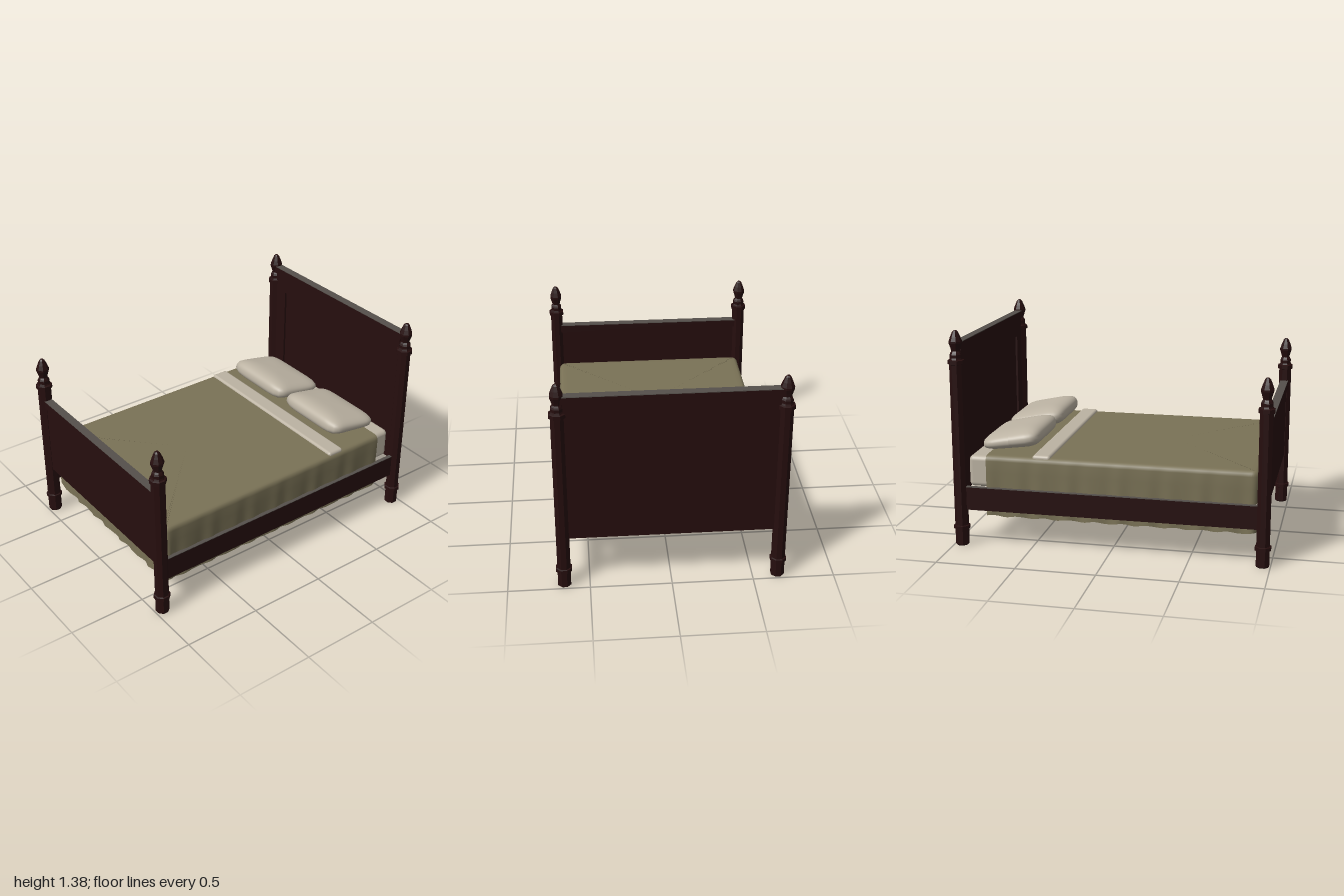
import * as THREE from 'three';
import { RoundedBoxGeometry } from 'three/addons/geometries/RoundedBoxGeometry.js';

export function createModel() {
  const bed = new THREE.Group();
  bed.name = 'bed';
  const material = (name, color, extra = {}) => {
    const m = new THREE.MeshStandardMaterial({ color, ...extra });
    m.name = name;
    return m;
  };
  const wood = material('dark wood', 0x260e0e);
  const edge = material('pale wood edge', 0x55504b);
  const linen = material('linen', 0xbcb3a3);
  const cloth = material('olive cloth', 0x7a7256, { side: THREE.DoubleSide });

  const add = (name, geometry, mat, x = 0, y = 0, z = 0, parent = bed) => {
    const mesh = new THREE.Mesh(geometry, mat);
    mesh.name = name;
    mesh.position.set(x, y, z);
    parent.add(mesh);
    return mesh;
  };
  // Box given by its lower and upper limits
  const block = (name, mat, [x0, x1], [y0, y1], [z0, z1], parent) =>
    add(name, new THREE.BoxGeometry(x1 - x0, y1 - y0, z1 - z0), mat,
      (x0 + x1) / 2, (y0 + y1) / 2, (z0 + z1) / 2, parent);

  // Turned eight-sided posts; top is the height of the finial tip
  const postGeometry = (top) => {
    const c = top - 0.195;
    const profile = [
      [0, 0], [0.038, 0], [0.043, 0.006], [0.043, 0.105], [0.052, 0.108], [0.052, 0.13], [0.043, 0.133],
      [0.043, c - 0.016], [0.052, c - 0.013], [0.052, c + 0.011], [0.041, c + 0.015],
      [0.037, c + 0.025], [0.038, c + 0.045], [0.033, c + 0.056], [0.026, c + 0.066],
      [0.031, c + 0.085], [0.041, c + 0.115], [0.041, c + 0.127], [0.031, c + 0.155],
      [0.018, c + 0.185], [0.009, c + 0.194], [0, c + 0.195],
    ].map(([r, y]) => new THREE.Vector2(r, y));
    const g = new THREE.LatheGeometry(profile, 8, Math.PI / 8).toNonIndexed();
    g.computeVertexNormals();
    return g;
  };
  const headPost = postGeometry(1.375), footPost = postGeometry(1.165);

  for (const s of [-1, 1]) {
    add('headPost', headPost, wood, s * 0.655, 0, -0.952);
    add('footPost', footPost, wood, s * 0.655, 0, 0.952);
    // Side rail with a pale top face
    const span = [-0.93, 0.93];
    const width = s > 0 ? [0.643, 0.668] : [-0.668, -0.643];
    block('sideRail', wood, width, [0.235, 0.381], span);
    block('sideRailTop', edge, width, [0.381, 0.385], span);
  }

  // Headboard: plain back, framed front with a sunken panel, top cap
  const headboard = new THREE.Group();
  headboard.name = 'headboard';
  bed.add(headboard);
  block('headboardPanel', wood, [-0.622, 0.622], [0.345, 1.25], [-0.97, -0.948], headboard);
  const rectangle = (Type, x, y0, y1) => {
    const p = new Type();
    p.moveTo(-x, y0).lineTo(x, y0).lineTo(x, y1).lineTo(-x, y1).closePath();
    return p;
  };
  const frame = rectangle(THREE.Shape, 0.622, 0.345, 1.25);
  frame.holes.push(rectangle(THREE.Path, 0.525, 0.5, 1.13));
  add('headboardFrame', new THREE.ExtrudeGeometry(frame, { depth: 0.014, bevelEnabled: false }),
    wood, 0, 0, -0.948, headboard);
  block('headboardCap', wood, [-0.635, 0.635], [1.25, 1.296], [-0.978, -0.926], headboard);
  block('headboardCapTop', edge, [-0.635, 0.635], [1.296, 1.3], [-0.978, -0.926], headboard);

  // Footboard
  const footboard = new THREE.Group();
  footboard.name = 'footboard';
  bed.add(footboard);
  block('footboardPanel', wood, [-0.622, 0.622], [0.345, 0.82], [0.934, 0.966], footboard);
  block('footboardCap', wood, [-0.635, 0.635], [0.82, 0.871], [0.924, 0.976], footboard);
  block('footboardCapTop', edge, [-0.635, 0.635], [0.871, 0.875], [0.924, 0.976], footboard);

  // Mattress and its base
  add('mattress', new RoundedBoxGeometry(1.23, 0.2, 1.81, 4, 0.03), linen, 0, 0.472, -0.005);
  block('mattressBase', linen, [-0.636, 0.636], [0.365, 0.385], [-0.78, 0.908]);

  // Blanket path in plan: down one side, round the foot, back up the other side
  const W = 0.652, HEAD = -0.785, FOOT = 0.922, R = 0.05;
  const path = [];
  const line = (x0, z0, x1, z1, nx, nz, n) => {
    for (let i = 0; i <= n; i++) {
      path.push([x0 + (x1 - x0) * i / n, z0 + (z1 - z0) * i / n, nx, nz]);
    }
  };
  const corner = (cx, a0) => {
    for (let i = 1; i < 6; i++) {
      const a = a0 + (i / 6) * Math.PI / 2, nx = Math.cos(a), nz = Math.sin(a);
      path.push([cx + R * nx, FOOT - R + R * nz, nx, nz]);
    }
  };
  line(W, HEAD, W, FOOT - R, 1, 0, 100);
  corner(W - R, 0);
  line(W - R, FOOT, R - W, FOOT, 0, 1, 76);
  corner(R - W, Math.PI / 2);
  line(-W, FOOT - R, -W, HEAD, -1, 0, 100);

  // Rows from hem to top: height, inset, fold strength
  const rows = [
    [0.198, 0.008, 1], [0.25, 0.008, 0.85], [0.32, 0.008, 0.65], [0.4, 0.007, 0.4], [0.48, 0.005, 0.25],
    [0.555, 0.004, 0.1], [0.574, 0.009, 0], [0.584, 0.019, 0], [0.588, 0.032, 0], [0.589, 0.06, 0],
  ];
  const vertices = [], indices = [];
  const count = path.length;
  for (const [y, inset, fold] of rows) {
    let length = 0;
    path.forEach(([x, z, nx, nz], i) => {
      if (i) length += Math.hypot(x - path[i - 1][0], z - path[i - 1][1]);
      const wave = Math.sin(length * 2 * Math.PI / 0.165) + 0.3 * Math.sin(length * 61);
      const out = fold * 0.008 * wave - inset;
      const hem = y < 0.2 ? 0.006 * Math.sin(length * 2 * Math.PI / 0.165 + 0.6) : 0;
      vertices.push(x + nx * out, y + hem, z + nz * out);
    });
  }
  // The last row gathers on the centre line to close the top
  for (const [, z] of path) vertices.push(0, 0.59, Math.min(z, 0.3));
  for (let r = 0; r < rows.length; r++) {
    for (let i = 0; i < count - 1; i++) {
      const a = r * count + i, b = a + count;
      indices.push(a, b, a + 1, a + 1, b, b + 1);
    }
  }
  const blanket = new THREE.BufferGeometry();
  blanket.setAttribute('position', new THREE.Float32BufferAttribute(vertices, 3));
  blanket.setIndex(indices);
  blanket.computeVertexNormals();
  add('blanket', blanket, cloth);

  // Turned-down sheet
  add('sheetFold', new RoundedBoxGeometry(1.27, 0.044, 0.115, 4, 0.018), linen, 0, 0.582, -0.432);

  // Pillows: a sphere squared off in plan, puffed in the middle, thinner at the head end
  const pillow = new THREE.SphereGeometry(1, 48, 32);
  const p = pillow.attributes.position;
  for (let i = 0; i < p.count; i++) {
    const x = p.getX(i), y = p.getY(i), z = p.getZ(i);
    const angle = Math.atan2(z, x);
    const c = Math.cos(angle), s = Math.sin(angle);
    const square = (Math.abs(c) ** 7 + Math.abs(s) ** 7) ** (-1 / 7);
    const reach = square * Math.hypot(x, z) ** 0.6;
    const height = Math.sign(y) * Math.abs(y) ** 0.85;
    p.setXYZ(i, c * reach * 0.265, height * (0.062 + 0.009 * s * reach), s * reach * 0.188);
  }
  pillow.computeVertexNormals();
  for (const s of [-1, 1]) {
    add('pillow', pillow, linen, s * 0.284, 0.653, -0.668).rotation.x = -0.17;
  }
  return bed;
}
